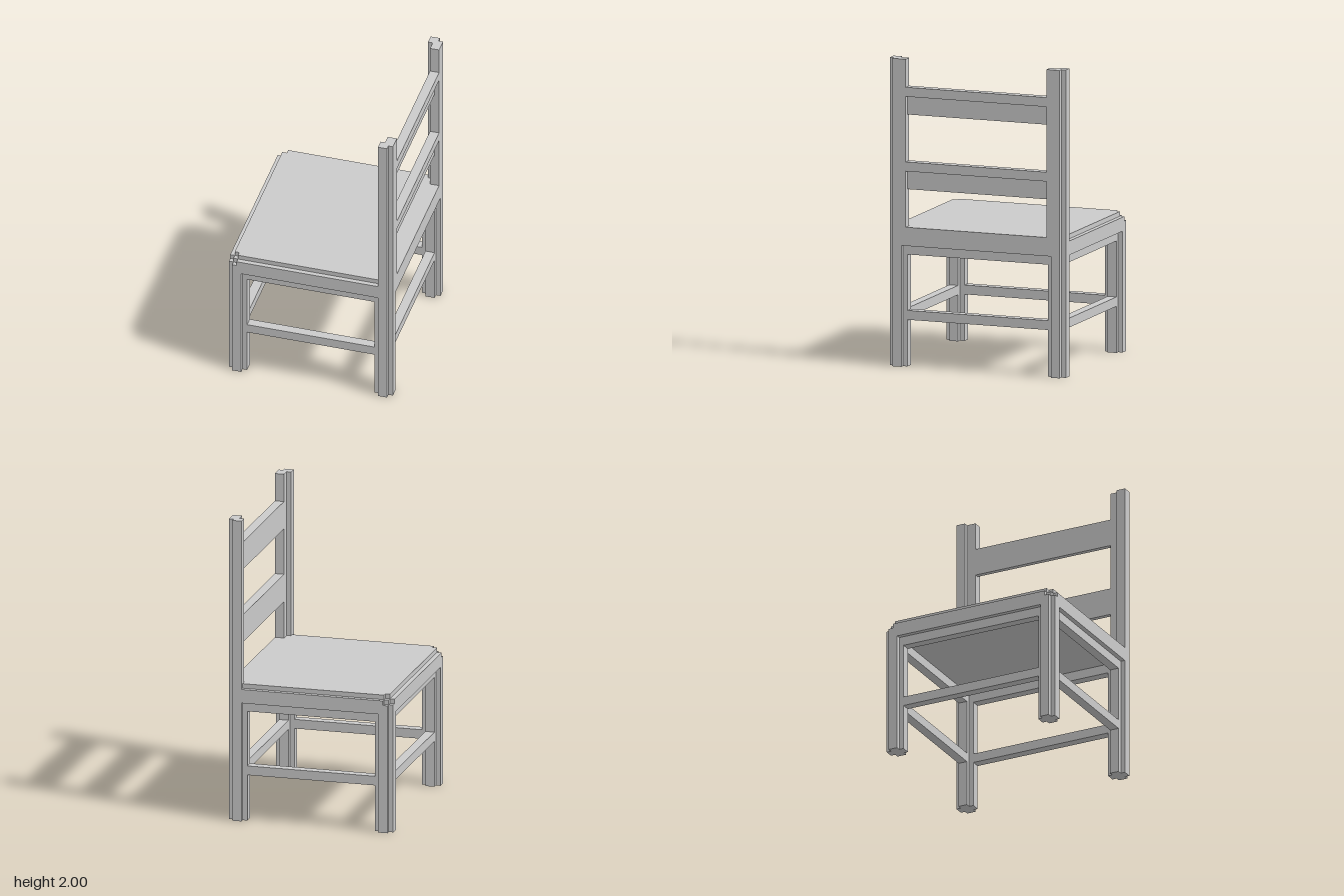
import * as THREE from 'three';

// Everything sits on a small grid: the chair is 66 cells tall.
const U = 1 / 33;
const material = new THREE.MeshStandardMaterial({ color: 0xcccccc, flatShading: true });

function addMesh(parent, name, geometry) {
  geometry.scale(U, U, U);
  const mesh = new THREE.Mesh(geometry, material);
  mesh.name = name;
  parent.add(mesh);
  return mesh;
}

// Upright prism from a plan outline of [x, z] points
function prism(parent, name, outline, y0, y1) {
  const shape = new THREE.Shape(outline.map(([x, z]) => new THREE.Vector2(x, -z)));
  const geometry = new THREE.ExtrudeGeometry(shape, { depth: y1 - y0, bevelEnabled: false });
  geometry.rotateX(-Math.PI / 2).translate(0, y0, 0);
  return addMesh(parent, name, geometry);
}

function box(parent, name, [x0, x1], [y0, y1], [z0, z1]) {
  const geometry = new THREE.BoxGeometry(x1 - x0, y1 - y0, z1 - z0);
  geometry.translate((x0 + x1) / 2, (y0 + y1) / 2, (z0 + z1) / 2);
  return addMesh(parent, name, geometry);
}

// Closes half an outline (z > 0) with its mirror image
const mirrored = (half) => [...half, ...half.map(([x, z]) => [x, -z]).reverse()];

// Square leg section with all four corners notched
const legSection = mirrored([[-2, 1], [-1, 1], [-1, 2], [1, 2], [1, 1], [2, 1]]);

export function createModel() {
  const chair = new THREE.Group();
  chair.name = 'chair';

  // Legs, and the back posts above the seat
  const postSection = [[15, 18], [16, 18], [16, 16], [18, 16], [18, 19], [17, 19], [17, 20], [15, 20]];
  for (const side of [-1, 1]) {
    const label = side > 0 ? 'Left' : 'Right';
    const legAt = (cx) => legSection.map(([x, z]) => [x + cx, z + side * 18]);
    prism(chair, 'frontLeg' + label, legAt(-16), 0, 28);
    prism(chair, 'backLeg' + label, legAt(16), 0, 30);
    prism(chair, 'backPost' + label, postSection.map(([x, z]) => [x, z * side]), 30, 66);
  }

  // Seat in three layers, stepped in at the top edge and front corners
  const seat = new THREE.Group();
  seat.name = 'seat';
  chair.add(seat);
  prism(seat, 'seatBase', mirrored([[-18, 19], [-17, 19], [-17, 20], [17, 20], [17, 19], [18, 19]]), 26, 28);
  prism(seat, 'seatEdge', mirrored([[-18, 18], [-17, 18], [-17, 19], [-16, 19], [-16, 20],
    [17, 20], [17, 19], [18, 19]]), 28, 29);
  prism(seat, 'seatTop', mirrored([[-17, 18], [-16, 18], [-16, 19], [18, 19]]), 29, 30);

  // Rings of rails between the legs: apron under the seat, stretchers below
  for (const [name, y] of [['apron', [24, 26]], ['stretcher', [10, 12]]]) {
    box(chair, name + 'Front', [-17, -15], y, [-16, 16]);
    box(chair, name + 'Back', [15, 17], y, [-16, 16]);
    box(chair, name + 'Left', [-14, 14], y, [17, 19]);
    box(chair, name + 'Right', [-14, 14], y, [-19, -17]);
  }

  // Back slats with a thicker lip along the top
  for (const [name, y] of [['lower', 38], ['upper', 54]]) {
    box(chair, name + 'Slat', [16, 17], [y, y + 4], [-16, 16]);
    box(chair, name + 'SlatLip', [16, 18], [y + 4, y + 6], [-16, 16]);
  }

  return chair;
}
